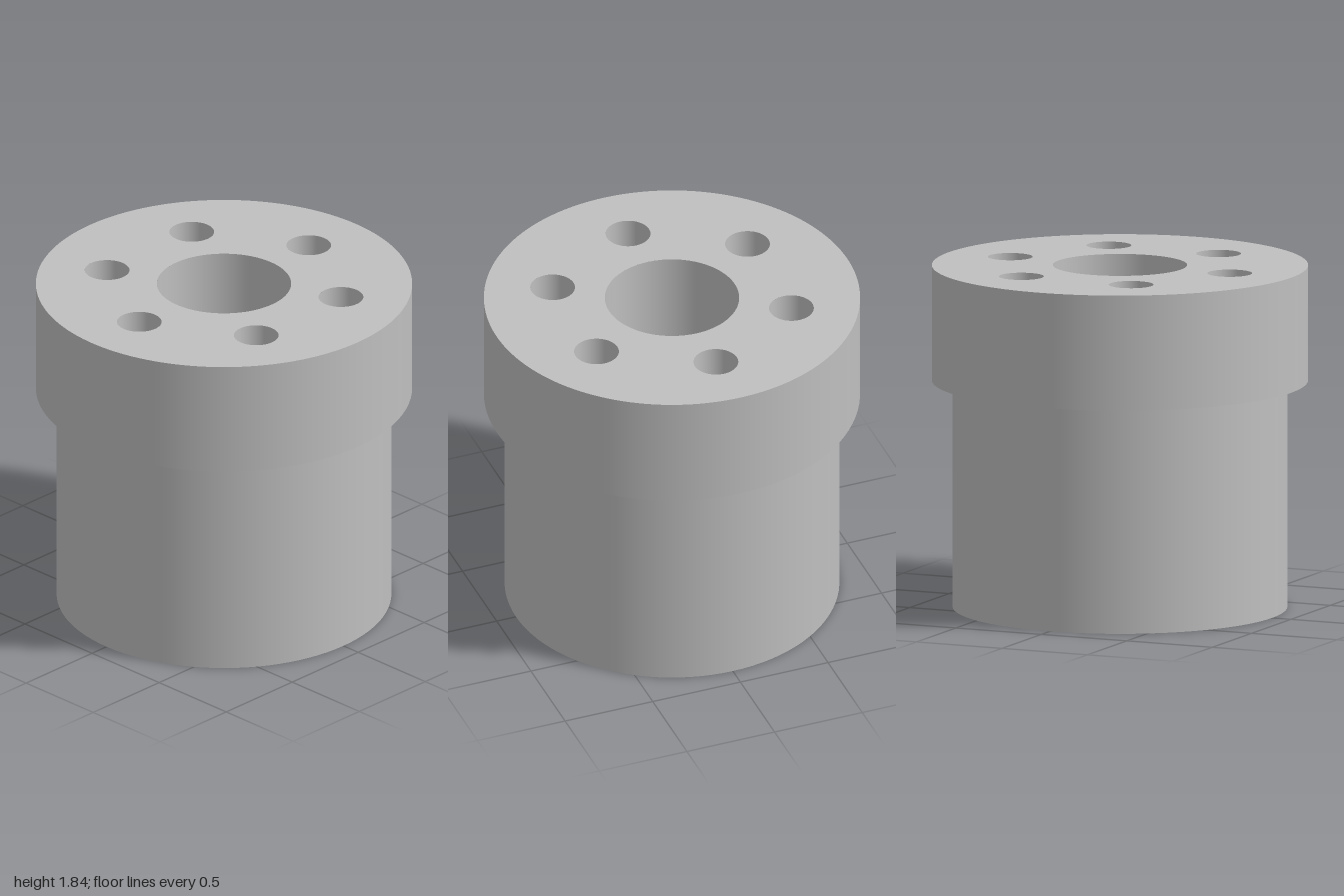
import * as THREE from 'three';

const SEG = 96;
const HEIGHT = 1.84, STEP_Y = 1.22;
const HEAD_R = 1, BODY_R = 0.89, BORE_R = 0.357;
const HOLE_R = 0.119, HOLE_RING = 0.642;

export function createModel() {
  const group = new THREE.Group();
  const steel = new THREE.MeshStandardMaterial({ color: 0xbfbfbf });
  steel.name = 'grey steel';

  const add = (name, geometry) => {
    const mesh = new THREE.Mesh(geometry, steel);
    mesh.name = name;
    group.add(mesh);
    return mesh;
  };

  // Surface of revolution between two (radius, y) points; upward faces out, downward faces in
  const wall = (name, r0, y0, r1, y1) =>
    add(name, new THREE.LatheGeometry([new THREE.Vector2(r0, y0), new THREE.Vector2(r1, y1)], SEG));

  const holeCentres = Array.from({ length: 6 }, (_, i) => {
    const a = Math.PI / 6 + (i * Math.PI) / 3;
    return [HOLE_RING * Math.cos(a), HOLE_RING * Math.sin(a)];
  });

  // Flat disc pierced by the bore and the ring of bolt holes
  const cap = (name, radius, y, tilt) => {
    const shape = new THREE.Shape().absarc(0, 0, radius, 0, Math.PI * 2, false);
    const pierce = (x, z, r) =>
      shape.holes.push(new THREE.Path().absarc(x, z, r, 0, Math.PI * 2, true));
    pierce(0, 0, BORE_R);
    holeCentres.forEach(([x, z]) => pierce(x, z, HOLE_R));
    const geometry = new THREE.ShapeGeometry(shape, SEG);
    geometry.rotateX(tilt).translate(0, y, 0);
    add(name, geometry);
  };

  // Outer skin: lower body, step under the head, and head
  wall('bodyWall', BODY_R, 0, BODY_R, STEP_Y);
  wall('headUnderside', BODY_R, STEP_Y, HEAD_R, STEP_Y);
  wall('headWall', HEAD_R, STEP_Y, HEAD_R, HEIGHT);

  // End faces
  cap('topFace', HEAD_R, HEIGHT, -Math.PI / 2);
  cap('bottomFace', BODY_R, 0, Math.PI / 2);

  // Through bore and bolt holes
  wall('centreBore', BORE_R, HEIGHT, BORE_R, 0);
  holeCentres.forEach(([x, z], i) => {
    wall(`boltHole${i + 1}`, HOLE_R, HEIGHT, HOLE_R, 0).position.set(x, 0, z);
  });

  return group;
}
